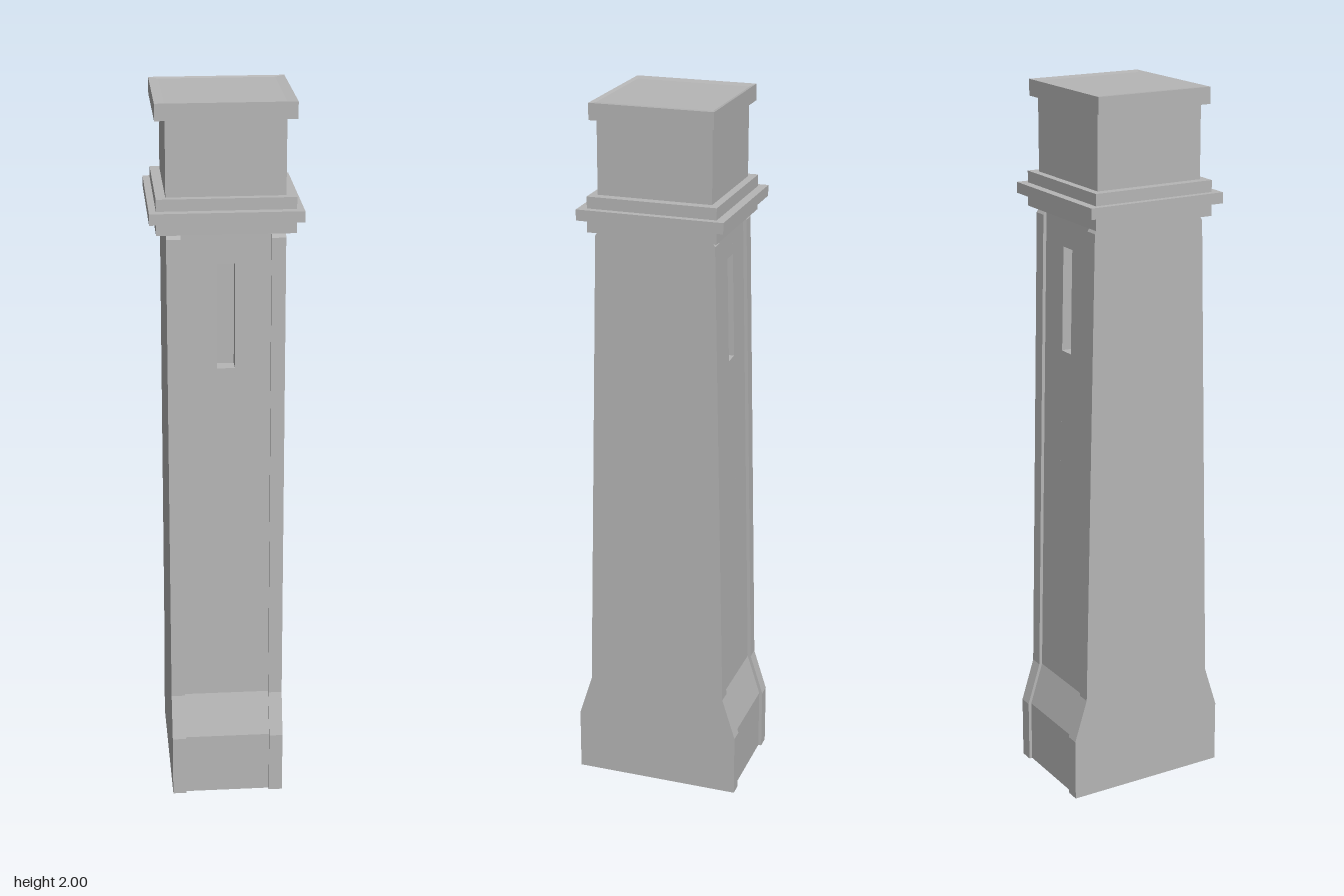
import * as THREE from 'three';

const stone = new THREE.MeshStandardMaterial({ color: 0xb6b6b6 });
stone.name = 'grey stone';

// Extrudes a front-to-back symmetric profile of [halfDepth, height] points from x0 to x1.
function extrudeProfile(points, x0, x1) {
  const front = points.map(([z, y]) => new THREE.Vector2(z, y));
  const back = points.map(([z, y]) => new THREE.Vector2(-z, y)).reverse();
  const geometry = new THREE.ExtrudeGeometry(new THREE.Shape([...front, ...back]), {
    depth: x1 - x0, bevelEnabled: false,
  });
  return geometry.rotateY(-Math.PI / 2).translate(x1, 0, 0);
}

export function createModel() {
  const model = new THREE.Group();
  model.name = 'chimneyTower';

  const add = (name, geometry) => {
    const mesh = new THREE.Mesh(geometry, stone);
    mesh.name = name;
    model.add(mesh);
    return mesh;
  };
  const block = (name, halfX, halfZ, y0, y1) =>
    add(name, new THREE.BoxGeometry(halfX * 2, y1 - y0, halfZ * 2).translate(0, (y0 + y1) / 2, 0));

  // Tapered shaft: raised corner strips beside a recessed panel
  const strip = [[0.238, 0], [0.238, 0.18], [0.2, 0.3], [0.167, 1.64], [0.158, 1.655]];
  const panel = [[0.229, 0], [0.229, 0.18], [0.191, 0.3], [0.157, 1.655]];
  const halfWidth = 0.158, panelHalf = 0.12, slotHalf = 0.024;
  add('leftCornerStrip', extrudeProfile(strip, panelHalf, halfWidth));
  add('rightCornerStrip', extrudeProfile(strip, -halfWidth, -panelHalf));
  add('leftPanel', extrudeProfile(panel, slotHalf, panelHalf));
  add('rightPanel', extrudeProfile(panel, -panelHalf, -slotHalf));

  // Middle of the panel, notched front and back for the narrow slots
  const slotted = [
    ...panel.slice(0, 3),
    [0.1664, 1.28], [0.125, 1.28], [0.125, 1.57], [0.1591, 1.57],
    panel[3],
  ];
  add('slottedPanel', extrudeProfile(slotted, -slotHalf, slotHalf));

  // Stepped moulding around the neck
  block('lowerMoulding', 0.184, 0.179, 1.655, 1.69);
  block('middleMoulding', 0.203, 0.203, 1.69, 1.72);
  block('upperMoulding', 0.184, 0.179, 1.72, 1.752);

  // Upper block and cap
  block('upperBlock', 0.158, 0.158, 1.752, 1.955);
  const capX = 0.185, capZ = 0.17;
  block('capSlab', capX, capZ, 1.955, 1.996);

  // Shallow dished top of the cap: outer rim down to a flat inner floor
  const ring = (x, y, z) => [[-x, y, z], [x, y, z], [x, y, -z], [-x, y, -z]];
  const rings = [ring(capX, 1.996, capZ), ring(capX, 2, capZ), ring(0.158, 1.997, 0.159)];
  const positions = [];
  const quad = (a, b, c, d) => positions.push(...a, ...b, ...c, ...a, ...c, ...d);
  for (let r = 0; r < 2; r++) {
    for (let i = 0; i < 4; i++) {
      const j = (i + 1) % 4;
      quad(rings[r][i], rings[r][j], rings[r + 1][j], rings[r + 1][i]);
    }
  }
  quad(...rings[2]);
  const dish = new THREE.BufferGeometry();
  dish.setAttribute('position', new THREE.Float32BufferAttribute(positions, 3));
  dish.computeVertexNormals();
  add('capTop', dish);

  return model;
}
